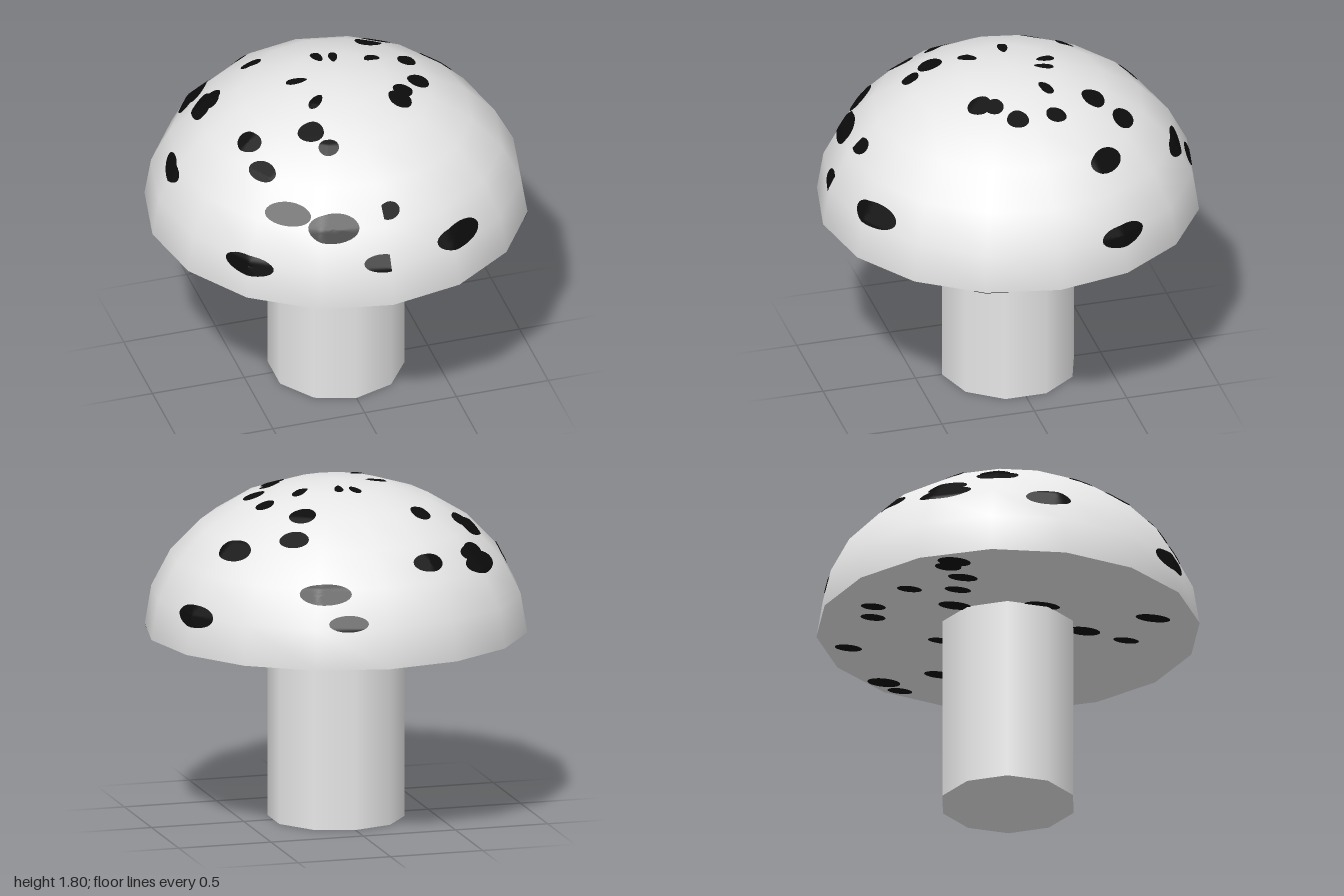
import * as THREE from 'three';

const SIDES = 16, BANDS = 6, RIM_Y = 1, DOME = 0.8;
const rad = THREE.MathUtils.degToRad;

// Ratio of the 16-sided outline's radius to its corner radius at an azimuth
function facet(azimuth) {
  const step = (2 * Math.PI) / SIDES;
  const inSector = ((azimuth % step) + step) % step;
  return Math.cos(step / 2) / Math.cos(inSector - step / 2);
}

// Point just above the faceted dome (degrees; azimuth 0 is the front)
function onDome(az, el) {
  const lift = 0.005, size = 90 / BANDS;
  const band = Math.min(BANDS - 1, Math.floor(el / size));
  const t = el / size - band;
  const e0 = rad(band * size), e1 = rad((band + 1) * size), a = rad(az);
  const r = THREE.MathUtils.lerp(Math.cos(e0), Math.cos(e1), t) * facet(a);
  const y = DOME * THREE.MathUtils.lerp(Math.sin(e0), Math.sin(e1), t);
  const n = new THREE.Vector3(Math.sin(a) * r, y / DOME ** 2, Math.cos(a) * r).normalize();
  return [Math.sin(a) * r + n.x * lift, RIM_Y + y + n.y * lift, Math.cos(a) * r + n.z * lift];
}

// Point just below the flat underside, where the same pattern is spread flat
function onUnderside(az, el) {
  let x = az / 180 - 1, z = 1 - el / 45;
  const limit = facet(Math.atan2(x, z)), r = Math.hypot(x, z);
  if (r > limit) { x *= limit / r; z *= limit / r; }
  return [x, RIM_Y - 0.003, z];
}

// Thin elliptical patch made of concentric rings, cut at the front seam
function spotGeometry([az, el, halfAz, halfEl], place) {
  const rings = 6, around = 28, positions = [], index = [];
  for (let i = 0; i <= rings; i++) {
    for (let j = 0; j < around; j++) {
      const t = (j / around) * 2 * Math.PI, k = i / rings;
      const a = THREE.MathUtils.clamp(az + halfAz * k * Math.cos(t), 0, 360);
      positions.push(...place(a, el + halfEl * k * Math.sin(t)));
      if (i === rings) continue;
      const p = i * around + j, q = i * around + ((j + 1) % around);
      index.push(p, p + around, q + around, p, q + around, q);
    }
  }
  const g = new THREE.BufferGeometry();
  g.setAttribute('position', new THREE.Float32BufferAttribute(positions, 3));
  g.setIndex(index);
  g.computeVertexNormals();
  return g;
}

// Spots: azimuth, elevation, half width, half height, in degrees
const LOW_SPOTS = [
  [314.4, 13, 8.5, 4], [26.2, 18.7, 9, 4.5], [358, 17, 6.3, 3.4], [341.9, 30.5, 9, 5.4],
  [324.8, 34, 8.7, 4.2], [2.7, 35.2, 4.2, 3.1], [113.3, 14.7, 8.1, 4.2], [118, 41.5, 8, 4.3],
  [160, 28, 9, 4], [167.7, 17, 6.3, 3.1], [201.9, 37.8, 6.7, 3.6], [228.5, 37.5, 8, 3.5],
  [229, 32.7, 10, 4.2], [266.4, 26.7, 7.8, 3.9],
];
const HIGH_SPOTS = [
  [308.7, 46, 7, 3.5], [293, 53, 7.3, 3.6], [325.2, 64, 9, 4], [338.4, 59, 6, 3],
  [316.7, 76, 7, 3.3], [262, 77.7, 7, 3.3], [190.5, 77.3, 7, 3], [167.8, 79, 7, 3],
  [120.3, 73.9, 6.5, 3], [108, 63, 6.5, 3.2], [80.9, 63.9, 7.5, 3.6], [62.4, 69, 8, 3.2],
  [50, 68.5, 9.5, 4], [142.5, 61, 8.3, 4], [143.7, 49.4, 7, 3.8], [246.5, 48.5, 7, 3.6],
  [248, 44.5, 9, 4], [220.4, 58, 6, 3.4],
];

export function createModel() {
  const model = new THREE.Group();
  model.name = 'mushroom';
  const pale = new THREE.MeshStandardMaterial({ color: 0xe7e7e7 });
  pale.name = 'pale grey';
  const black = new THREE.MeshStandardMaterial({ color: 0x0c0c0c, side: THREE.DoubleSide });
  black.name = 'black';

  const add = (parent, name, geometry, material) => {
    const mesh = new THREE.Mesh(geometry, material);
    mesh.name = name;
    parent.add(mesh);
    return mesh;
  };

  // Stem
  add(model, 'stem', new THREE.CylinderGeometry(0.357, 0.357, RIM_Y, 10).translate(0, RIM_Y / 2, 0), pale);

  // Cap: half dome closed by a flat underside
  const dome = new THREE.SphereGeometry(1, SIDES, BANDS, 0, 2 * Math.PI, 0, Math.PI / 2);
  add(model, 'capDome', dome.scale(1, DOME, 1).translate(0, RIM_Y, 0), pale);
  add(model, 'capUnderside', new THREE.CircleGeometry(1, SIDES).rotateX(Math.PI / 2).translate(0, RIM_Y, 0), pale);

  // Spots on the dome and the underside
  const domeSpots = new THREE.Group(), undersideSpots = new THREE.Group();
  domeSpots.name = 'domeSpots';
  undersideSpots.name = 'undersideSpots';
  model.add(domeSpots, undersideSpots);
  for (const spot of [...LOW_SPOTS, ...HIGH_SPOTS]) {
    add(domeSpots, 'domeSpot', spotGeometry(spot, onDome), black);
    const inside = Math.hypot(spot[0] / 180 - 1, 1 - spot[1] / 45) < 1.02;
    if (inside) add(undersideSpots, 'undersideSpot', spotGeometry(spot, onUnderside), black);
  }
  return model;
}
